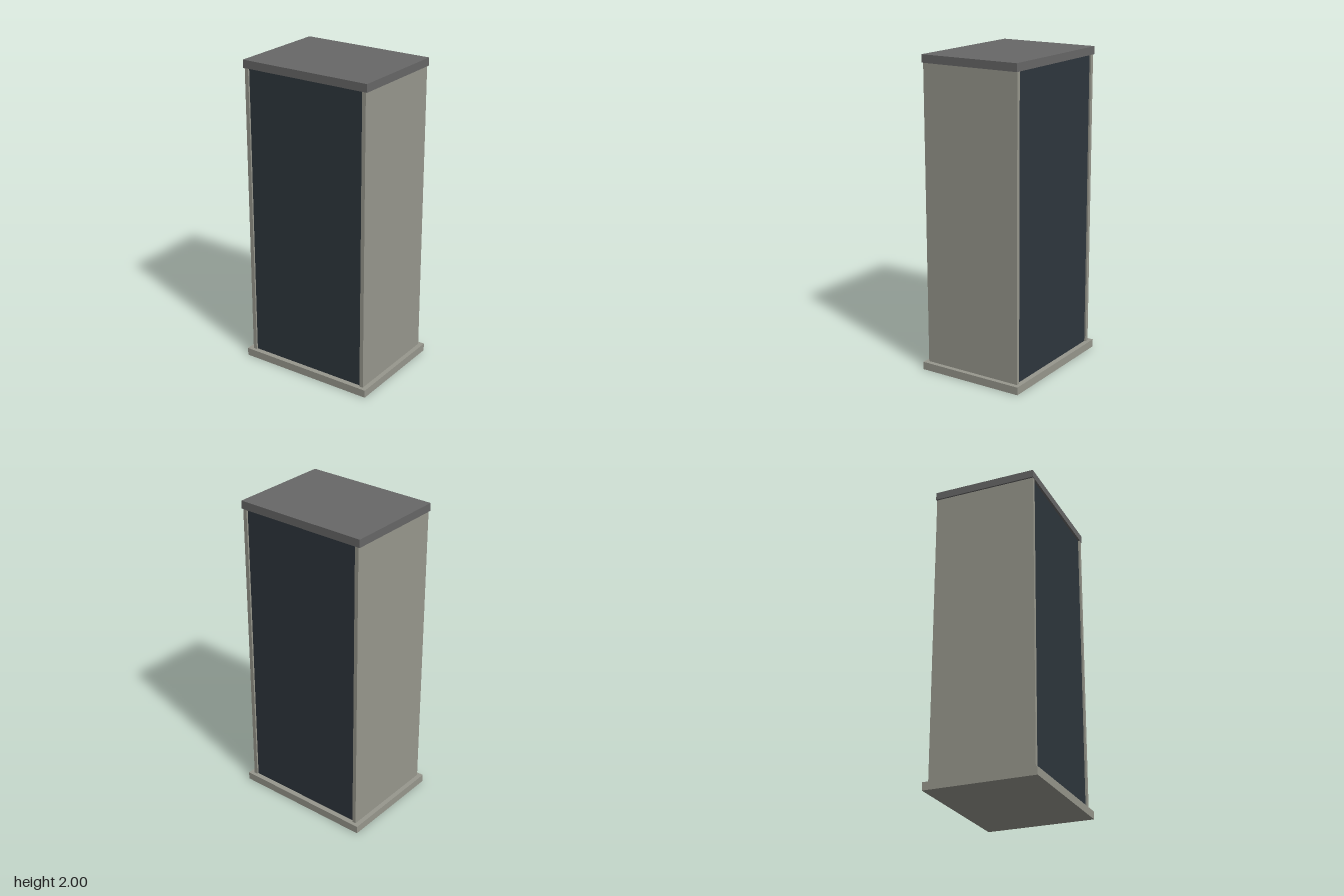
import * as THREE from 'three';

const grey = new THREE.MeshStandardMaterial({ name: 'warmGrey', color: 0x97978d });
const charcoal = new THREE.MeshStandardMaterial({ name: 'charcoal', color: 0x676767 });
const slate = new THREE.MeshStandardMaterial({ name: 'darkSlate', color: 0x2e363d });

export function createModel() {
  const group = new THREE.Group();
  group.name = 'cabinet';

  const box = (name, material, size, x, y, z) => {
    const mesh = new THREE.Mesh(new THREE.BoxGeometry(...size), material);
    mesh.name = name;
    mesh.position.set(x, y, z);
    group.add(mesh);
  };

  // Plinth and lid
  box('base', grey, [0.92, 0.05, 0.71], 0, 0.025, 0);
  box('lid', charcoal, [0.88, 0.05, 0.67], 0, 1.975, 0);

  // Side walls
  for (const [name, s] of [['leftWall', 1], ['rightWall', -1]]) {
    box(name, grey, [0.025, 1.9, 0.664], s * 0.4175, 1, 0);
  }

  // Front and back doors, set slightly in from the wall edges
  for (const [name, s] of [['frontDoor', 1], ['backDoor', -1]]) {
    box(name, slate, [0.81, 1.9, 0.025], 0, 1, s * 0.3085);
  }

  return group;
}
